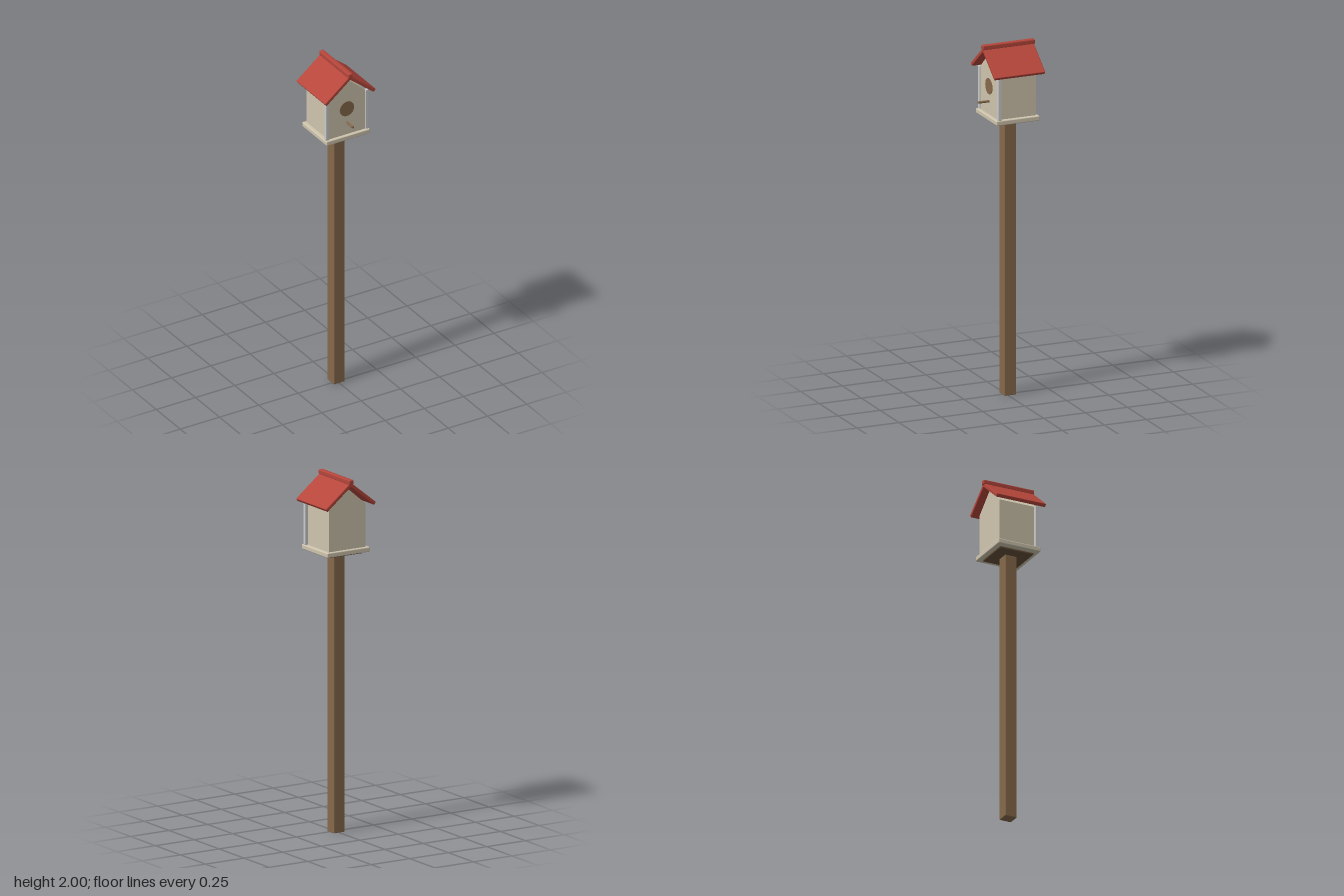
import * as THREE from 'three';
import { RoundedBoxGeometry } from 'three/addons/geometries/RoundedBoxGeometry.js';

const CZ = -0.0115; // the post, house and roof share this depth centre

export function createModel() {
  const model = new THREE.Group();
  model.name = 'birdhouse';

  const paint = (color) => new THREE.MeshStandardMaterial({ color });
  const wood = paint(0x86694b);
  const darkWood = paint(0x66503a);
  const cream = paint(0xcfc5ae);
  const trimGrey = paint(0xc4c6c8);
  const red = paint(0xb5463b);

  const add = (name, geometry, material, x, y, z) => {
    const mesh = new THREE.Mesh(geometry, material);
    mesh.name = name;
    mesh.position.set(x, y, z);
    model.add(mesh);
    return mesh;
  };
  const block = (w, h, d, r) => new RoundedBoxGeometry(w, h, d, 2, r);

  // Post, mounting plate and floor
  add('post', block(0.07, 1.57, 0.07, 0.004), wood, 0, 0.785, CZ);
  add('mountingPlate', block(0.205, 0.014, 0.205, 0.003), darkWood, 0, 1.572, CZ);
  add('floor', block(0.278, 0.028, 0.258, 0.006), cream, 0, 1.588, CZ);

  // Gabled house body
  const gable = new THREE.Shape();
  gable.moveTo(-0.118, 1.598);
  gable.lineTo(0.118, 1.598);
  gable.lineTo(0.118, 1.845);
  gable.lineTo(0, 1.946);
  gable.lineTo(-0.118, 1.845);
  gable.closePath();
  const body = new THREE.ExtrudeGeometry(gable, { depth: 0.225, bevelEnabled: false });
  add('houseBody', body, cream, 0, 0, -0.125);

  // Entrance disc and perch
  const disc = new THREE.CylinderGeometry(0.045, 0.045, 0.008, 40).rotateX(Math.PI / 2);
  add('entranceHole', disc, wood, 0, 1.762, 0.099);
  const perch = new THREE.CylinderGeometry(0.0065, 0.0065, 0.075, 16).rotateX(Math.PI / 2);
  add('perch', perch, wood, 0, 1.677, 0.1295);

  // Front corner trims and sloping roof panels, mirrored
  const slope = Math.atan2(0.13, 0.163);
  for (const [side, s] of [['left', 1], ['right', -1]]) {
    add(side + 'CornerTrim', block(0.02, 0.245, 0.02, 0.003), trimGrey, s * 0.126, 1.7225, 0.096);
    const panel = add(side + 'RoofPanel', block(0.2085, 0.02, 0.301, 0.004), red, s * 0.0755, 1.912, -0.0125);
    panel.rotation.z = -s * slope;
  }

  // Ridge cap
  add('ridgeCap', block(0.029, 0.029, 0.311, 0.007), red, 0, 1.9855, -0.0125);

  return model;
}
